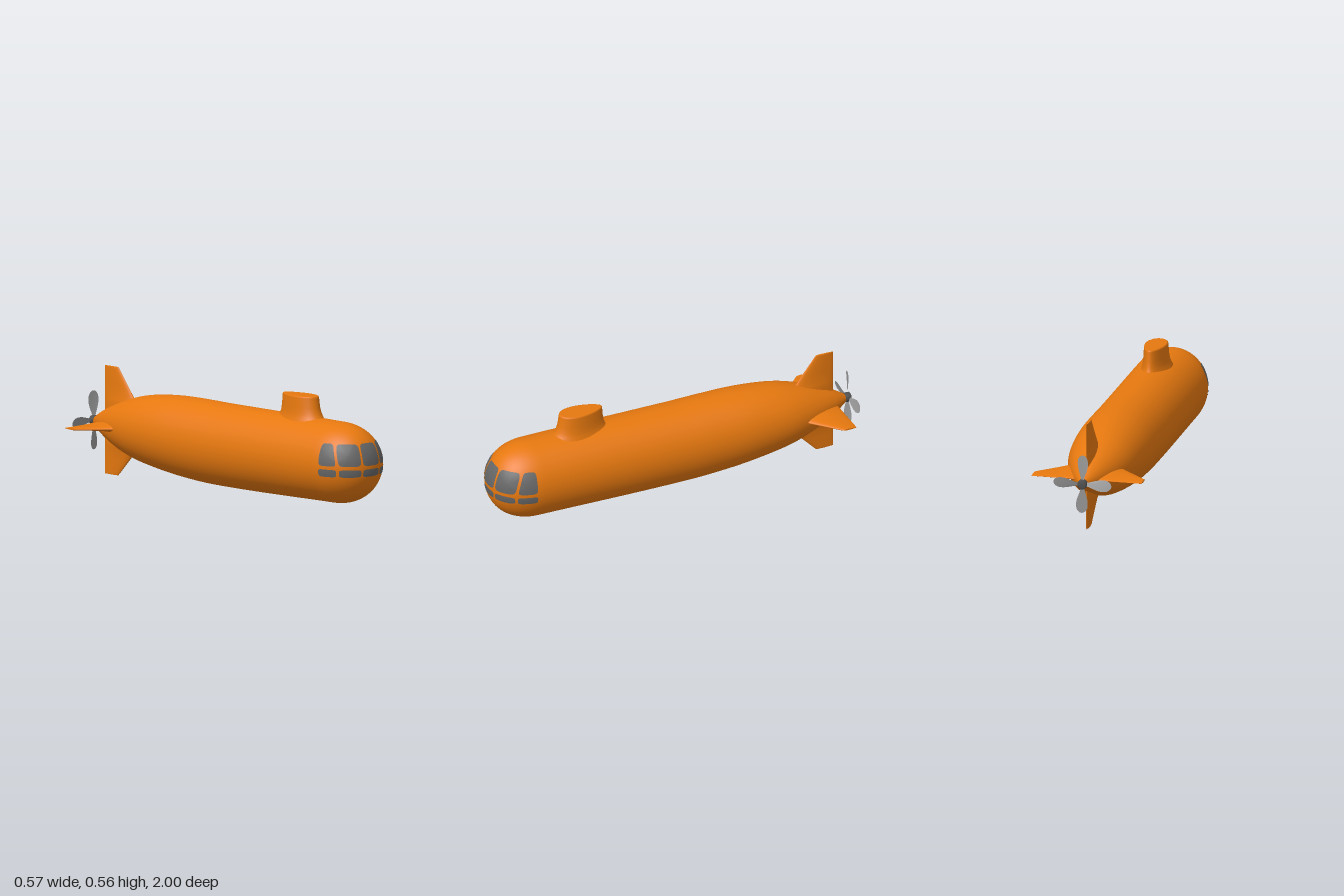
import * as THREE from 'three';

const AXIS_Y = 0.262; // height of the tail axis
const NOSE = { z: 0.76, len: 0.24, w: 0.193, h: 0.205, y: 0.25, n: 2.2 };

const material = (name, color, side = THREE.FrontSide) => {
  const m = new THREE.MeshStandardMaterial({ color, side });
  m.name = name;
  return m;
};

// Skin a list of closed rings (arrays of Vector3), optionally capping the ends
function loft(rings, capStart = false, capEnd = false) {
  const n = rings[0].length, pos = [], idx = [];
  rings.forEach(r => r.forEach(p => pos.push(p.x, p.y, p.z)));
  for (let i = 0; i < rings.length - 1; i++) {
    for (let j = 0; j < n; j++) {
      const k = (j + 1) % n;
      const a = i * n + j, b = i * n + k, c = a + n, d = b + n;
      idx.push(a, b, c, b, d, c);
    }
  }
  const cap = (ring, flip) => {
    const base = pos.length / 3;
    const mid = ring.reduce((s, p) => s.add(p), new THREE.Vector3()).divideScalar(n);
    [mid, ...ring].forEach(p => pos.push(p.x, p.y, p.z));
    for (let j = 0; j < n; j++) {
      const a = base + 1 + j, b = base + 1 + (j + 1) % n;
      if (flip) idx.push(base, b, a);
      else idx.push(base, a, b);
    }
  };
  if (capStart) cap(rings[0], true);
  if (capEnd) cap(rings[rings.length - 1], false);
  const g = new THREE.BufferGeometry();
  g.setAttribute('position', new THREE.Float32BufferAttribute(pos, 3));
  g.setIndex(idx);
  g.computeVertexNormals();
  return g;
}

const ring = (n, fn) => Array.from({ length: n }, (_, j) => fn(j / n * Math.PI * 2));

// Hull: tapered tail, long body and blunt rounded nose
function hullGeometry() {
  const stations = [ // z, half width, half height
    [-0.98, 0.014, 0.014], [-0.95, 0.034, 0.033], [-0.9, 0.065, 0.062], [-0.8, 0.112, 0.107],
    [-0.7, 0.147, 0.143], [-0.6, 0.17, 0.169], [-0.4, 0.19, 0.196], [-0.2, 0.193, 0.207],
    [0, 0.193, 0.209], [0.4, 0.193, 0.208], [NOSE.z, NOSE.w, NOSE.h],
  ].map(s => new THREE.Vector3(...s));
  const sections = new THREE.CatmullRomCurve3(stations).getPoints(60);
  for (let i = 1; i <= 36; i++) {
    const t = i / 36 * Math.PI / 2, e = 2 / NOSE.n;
    const s = Math.max(Math.cos(t), 0) ** e;
    sections.push(new THREE.Vector3(NOSE.z + NOSE.len * Math.sin(t) ** e, NOSE.w * s, NOSE.h * s));
  }
  const rings = sections.map(({ x: z, y: w, z: h }) => {
    const y = 0.246 + 0.016 * THREE.MathUtils.smoothstep(-z, 0, 0.6)
      + 0.004 * THREE.MathUtils.smoothstep(z, 0.1, NOSE.z);
    return ring(96, a => new THREE.Vector3(w * Math.cos(a), y + h * Math.sin(a), z));
  });
  return loft(rings, true);
}

// Point on the nose at a bearing (degrees) around a vertical axis and a height
function nosePoint(deg, y) {
  const t = THREE.MathUtils.degToRad(deg), z0 = 0.8;
  let lo = 0, hi = 0.4;
  for (let i = 0; i < 30; i++) {
    const r = (lo + hi) / 2;
    const x = r * Math.sin(t), z = Math.max(z0 + r * Math.cos(t) - NOSE.z, 0);
    const f = Math.hypot(x / NOSE.w, (y - NOSE.y) / NOSE.h) ** NOSE.n + (z / NOSE.len) ** NOSE.n;
    if (f > 1) hi = r;
    else lo = r;
  }
  const r = lo + 0.002;
  return new THREE.Vector3(r * Math.sin(t), y, z0 + r * Math.cos(t));
}

// Rounded window pane that follows the nose; bearings are [bottom, top] of each edge
function windowGeometry(from, to, y0, y1, power) {
  const round = v => Math.sign(v) * Math.abs(v) ** (2 / power);
  const rings = [1, 0.8, 0.6, 0.4, 0.2, 0].map(rho => ring(56, a => {
    const u = (rho * round(Math.cos(a)) + 1) / 2, v = (rho * round(Math.sin(a)) + 1) / 2;
    const lerp = THREE.MathUtils.lerp;
    return nosePoint(lerp(lerp(...from, v), lerp(...to, v), u), lerp(y0, y1, v));
  }));
  return loft(rings);
}

// Flared teardrop tower
function towerGeometry() {
  const levels = [ // y, rear z, front z, half width
    [0.41, 0.325, 0.665, 0.088], [0.44, 0.34, 0.65, 0.076], [0.455, 0.352, 0.634, 0.069],
    [0.475, 0.361, 0.622, 0.064], [0.505, 0.367, 0.612, 0.060], [0.555, 0.371, 0.605, 0.057],
    [0.561, 0.373, 0.603, 0.055], [0.563, 0.377, 0.599, 0.051],
  ];
  return loft(levels.map(([y, z0, z1, w]) => ring(64, a => new THREE.Vector3(
    w * Math.sin(a) * (1 + 0.25 * Math.cos(a)) / 1.03, y,
    (z0 + z1) / 2 + (z1 - z0) / 2 * Math.cos(a)))), false, true);
}

// Swept tail fin with an airfoil section, standing along +y from the axis
function finGeometry(tip, tipLead) {
  const spans = [[0.03, 0.028], [0.1, 0.025], [0.125, 0.02], [0.15, 0.0145], [0.19, 0.011],
    [tip - 0.006, 0.006], [tip, 0.004]];
  const rings = spans.map(([s, t]) => {
    const lead = THREE.MathUtils.mapLinear(s, 0.145, tip, -0.7, tipLead), tail = -0.905;
    return ring(40, a => new THREE.Vector3(
      t * Math.sin(a) * (1 + 0.35 * Math.cos(a)) / 1.05, s,
      (lead + tail) / 2 + (lead - tail) / 2 * Math.cos(a)));
  });
  return loft(rings, false, true);
}

// Thin paddle blade, pitched more strongly near the hub
function bladeGeometry() {
  const s = new THREE.Shape();
  s.moveTo(-0.007, 0.015);
  s.bezierCurveTo(-0.012, 0.05, -0.036, 0.08, -0.03, 0.12);
  s.bezierCurveTo(-0.024, 0.158, 0.014, 0.16, 0.024, 0.125);
  s.bezierCurveTo(0.032, 0.09, 0.012, 0.05, 0.007, 0.015);
  const g = new THREE.ShapeGeometry(s, 16), p = g.attributes.position;
  for (let i = 0; i < p.count; i++) {
    const pitch = 0.5 - 2.2 * p.getY(i);
    p.setZ(i, p.getX(i) * Math.sin(pitch));
  }
  g.computeVertexNormals();
  return g;
}

export function createModel() {
  const orange = material('hull orange', 0xe6780f);
  const glass = material('window grey', 0x666666);
  const steel = material('blade grey', 0x999999, THREE.DoubleSide);
  const dark = material('hub grey', 0x505050);
  const model = new THREE.Group();
  model.name = 'submarine';
  const add = (name, geometry, mat, parent = model) => {
    const mesh = new THREE.Mesh(geometry, mat);
    mesh.name = name;
    parent.add(mesh);
    return mesh;
  };

  add('hull', hullGeometry(), orange);
  add('tower', towerGeometry(), orange);

  // Two rows of five windows
  const neg = e => e.map(v => -v);
  const columns = [[[-15.6, -16.9], [15.6, 16.9]]];
  for (const [a, b] of [[[18.5, 20], [52, 59]], [[56, 64], [87, 87]]]) {
    columns.push([a, b], [neg(b), neg(a)]);
  }
  for (const [from, to] of columns) {
    add('upperWindow', windowGeometry(from, to, 0.26, 0.37, 6), glass);
    const low = e => [e[0], e[0]];
    add('lowerWindow', windowGeometry(low(from), low(to), 0.205, 0.243, 5), glass);
  }

  // Four tail fins
  const fins = [['topFin', 0.288, -0.81], ['leftFin', 0.284, -0.833],
    ['bottomFin', 0.262, -0.81], ['rightFin', 0.284, -0.833]];
  fins.forEach(([name, tip, lead], i) => {
    const fin = add(name, finGeometry(tip, lead), orange);
    fin.position.y = AXIS_Y;
    fin.rotation.z = -i * Math.PI / 2;
  });

  // Propeller
  const propeller = new THREE.Group();
  propeller.name = 'propeller';
  propeller.position.set(0, AXIS_Y, -0.985);
  model.add(propeller);
  const profile = [[0, -0.015], [0.019, -0.015], [0.024, -0.011], [0.025, 0.012], [0.021, 0.018], [0, 0.018]];
  const hub = new THREE.LatheGeometry(profile.map(p => new THREE.Vector2(...p)), 32);
  add('hub', hub.rotateX(Math.PI / 2), dark, propeller);
  for (let i = 0; i < 4; i++) {
    add('blade', bladeGeometry(), steel, propeller).rotation.z = i * Math.PI / 2;
  }
  return model;
}
